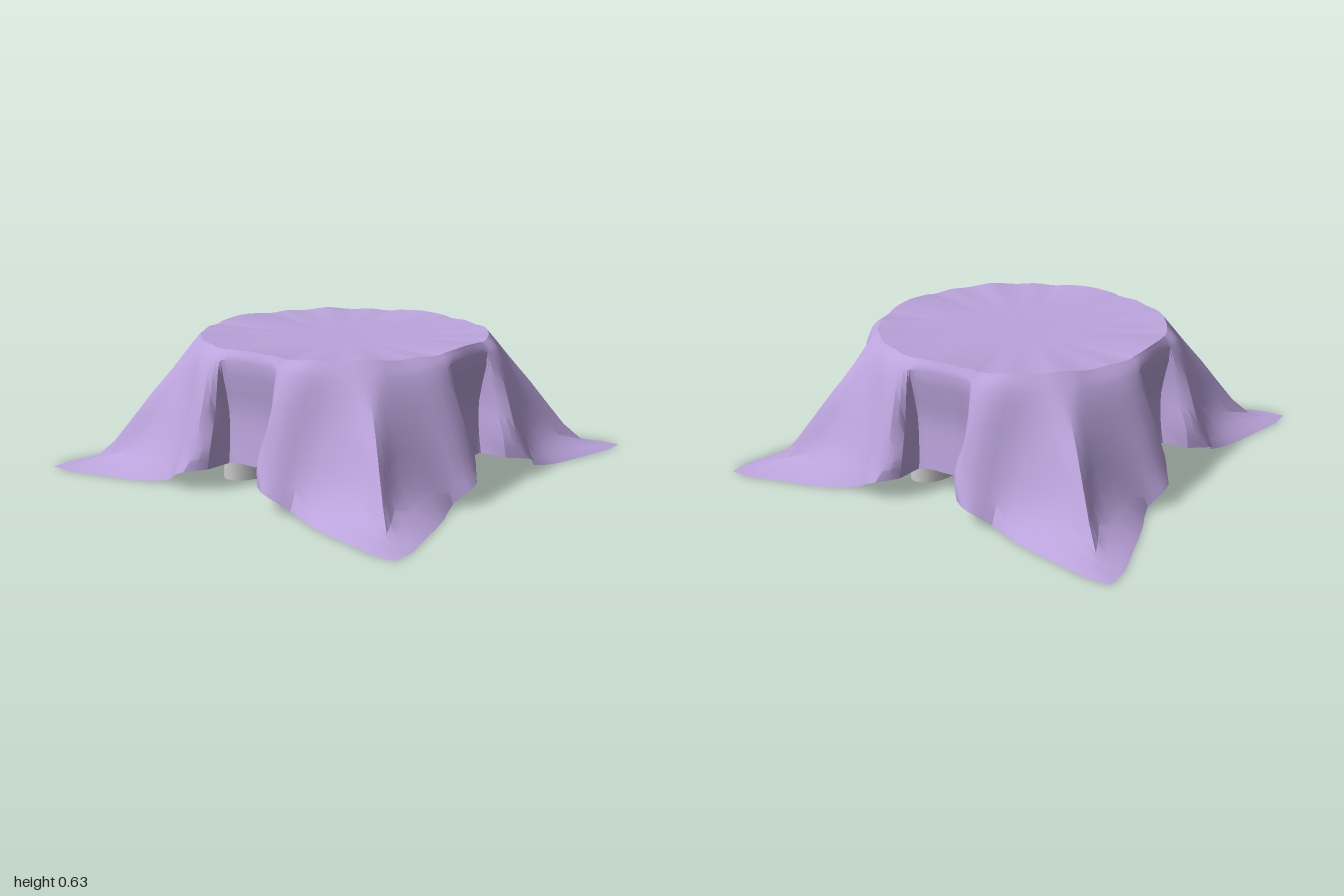
import * as THREE from 'three';
import { toCreasedNormals, mergeVertices } from 'three/addons/utils/BufferGeometryUtils.js';

// Folds of one eighth of the cloth, from the middle of a side to the corner.
// Each fold runs rim, shoulder, middle, low, hem as [outward, sideways, height].
const FOLDS = [
  [[.68, 0, .635], [.70, 0, .585], [.67, 0, .35], [.68, 0, .2], [.69, 0, .11]],
  [[.675, .1, .63], [.70, .1, .585], [.67, .1, .35], [.68, .09, .2], [.69, .09, .11]],
  [[.665, .16, .625], [.70, .16, .58], [.67, .15, .35], [.68, .14, .2], [.70, .13, .105]],
  [[.66, .18, .62], [.705, .17, .575], [.75, .16, .35], [.81, .14, .2], [.82, .15, .1]],
  [[.645, .24, .62], [.705, .22, .575], [.80, .2, .35], [.86, .2, .17], [.895, .23, .09]],
  [[.62, .3, .625], [.69, .29, .57], [.78, .28, .35], [.85, .28, .16], [.89, .29, .065]],
  [[.59, .36, .62], [.64, .37, .56], [.72, .37, .35], [.80, .36, .15], [.855, .36, .02]],
  [[.56, .41, .62], [.60, .44, .55], [.68, .48, .35], [.78, .52, .12], [.90, .5, 0]],
  [[.53, .45, .625], [.57, .5, .55], [.665, .58, .35], [.80, .72, .08], [.965, .74, 0]],
  [[.49, .49, .63], [.55, .55, .53], [.66, .66, .35], [.86, .86, .035], [1, 1, 0]],
];

// Mirror the folds across each side and repeat them round the four sides
function allFolds() {
  const columns = [];
  for (let side = 0; side < 4; side++) {
    const c = Math.round(Math.cos(side * Math.PI / 2));
    const s = Math.round(Math.sin(side * Math.PI / 2));
    for (let k = -9; k < 9; k++) {
      columns.push(FOLDS[Math.abs(k)].map(([a, b, y]) => {
        const t = k < 0 ? -b : b;
        return new THREE.Vector3(a * c - t * s, y, a * s + t * c);
      }));
    }
  }
  return columns;
}

function clothGeometry() {
  const STEPS = 12;
  const columns = allFolds().map((p) => new THREE.CatmullRomCurve3(p).getPoints(STEPS));
  const rows = [];
  // Slightly dished top
  for (const f of [0.001, 0.25, 0.5, 0.75, 0.92]) {
    rows.push(columns.map(([p]) => new THREE.Vector3(p.x * f, THREE.MathUtils.lerp(0.605, p.y, f ** 3), p.z * f)));
  }
  // Hanging skirt
  for (let i = 0; i <= STEPS; i++) rows.push(columns.map((c) => c[i]));

  const position = [], index = [];
  const n = columns.length * 2;
  rows.forEach((row, r) => {
    const loop = new THREE.CatmullRomCurve3(row, true);
    for (let j = 0; j < n; j++) {
      const p = loop.getPoint(j / n);
      position.push(p.x, Math.max(0, p.y), p.z);
      if (r === rows.length - 1) continue;
      const a = r * n + j, b = r * n + (j + 1) % n;
      index.push(a, b, a + n, b, b + n, a + n);
    }
  });
  const geometry = new THREE.BufferGeometry();
  geometry.setAttribute('position', new THREE.Float32BufferAttribute(position, 3));
  geometry.setIndex(index);
  return toCreasedNormals(mergeVertices(geometry, 1e-5), 0.5);
}

function gearGeometry(height) {
  const TEETH = 12, OFFSET = THREE.MathUtils.degToRad(18);
  // Half tooth outline as [radius, half width], mirrored for the other flank
  const flank = [[.49, .075], [.55, .082], [.60, .078], [.64, .06], [.665, .033]];
  const tooth = [
    ...flank.map(([r, w]) => [r, -w]), [.675, 0],
    ...flank.slice().reverse(),
  ];
  const points = [];
  for (let i = 0; i < TEETH; i++) {
    const a = OFFSET + i * 2 * Math.PI / TEETH, c = Math.cos(a), s = Math.sin(a);
    for (const [r, w] of tooth) points.push(new THREE.Vector2(r * c - w * s, r * s + w * c));
  }
  const shape = new THREE.Shape(points);
  shape.holes.push(new THREE.Path().absarc(0, 0, 0.12, 0, Math.PI * 2, true));
  const geometry = new THREE.ExtrudeGeometry(shape, { depth: height, bevelEnabled: false, curveSegments: 12 });
  geometry.rotateX(Math.PI / 2).translate(0, height, 0);
  return toCreasedNormals(geometry, 0.6);
}

export function createModel() {
  const model = new THREE.Group();
  model.name = 'coveredGear';

  const cloth = new THREE.Mesh(
    clothGeometry(),
    new THREE.MeshStandardMaterial({ color: 0xbba4dc, side: THREE.DoubleSide }),
  );
  cloth.name = 'drapedCloth';

  const gear = new THREE.Mesh(gearGeometry(0.59), new THREE.MeshStandardMaterial({ color: 0xcccccc }));
  gear.name = 'gear';

  model.add(cloth, gear);
  return model;
}
